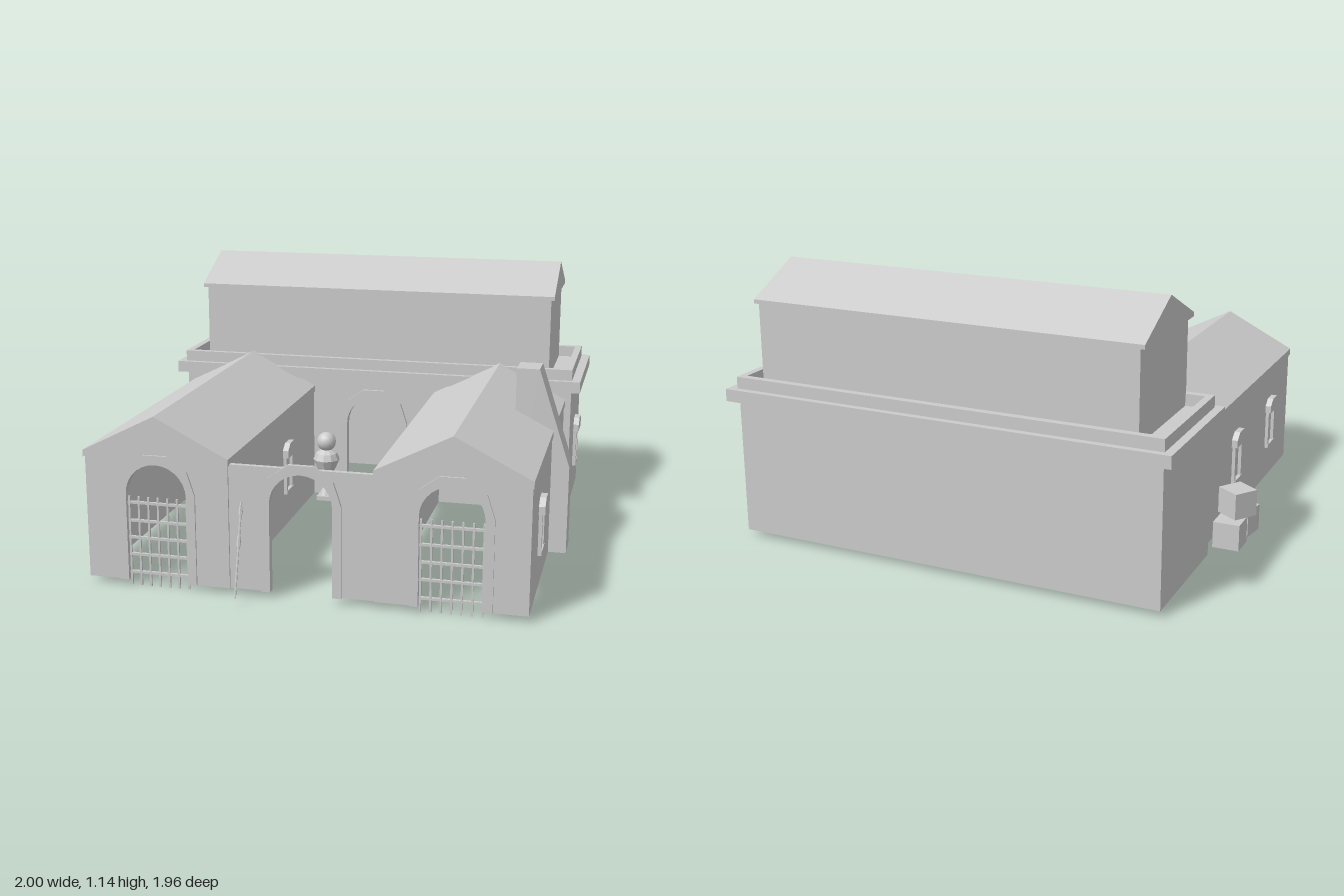
import * as THREE from 'three';

const MAT = new THREE.MeshStandardMaterial({ color: 0xcccccc, flatShading: true });
const SMOOTH = new THREE.MeshStandardMaterial({ color: 0xcccccc });
const BASE = 0.025;

function add(parent, name, geo, mat = MAT) {
  const m = new THREE.Mesh(geo, mat);
  m.name = name;
  parent.add(m);
  return m;
}

// box given by its limits
function box(parent, name, x0, x1, y0, y1, z0, z1) {
  const m = add(parent, name, new THREE.BoxGeometry(x1 - x0, y1 - y0, z1 - z0));
  m.position.set((x0 + x1) / 2, (y0 + y1) / 2, (z0 + z1) / 2);
  return m;
}

const poly = pts => pts.map(p => new THREE.Vector2(...p));

// outline extruded along z from z0 to z1
function slab(parent, name, pts, z0, z1, hole) {
  const s = new THREE.Shape(poly(pts));
  if (hole) s.holes.push(new THREE.Path(poly(hole)));
  const g = new THREE.ExtrudeGeometry(s, { depth: z1 - z0, bevelEnabled: false });
  g.translate(0, 0, z0);
  return add(parent, name, g);
}

// points over an arch, from lower right to lower left
function arch(cx, r, segs, yc = 0.385) {
  const pts = [[cx + r, BASE]];
  for (let i = 0; i <= segs; i++) {
    const a = Math.PI * i / segs;
    pts.push([cx + r * Math.cos(a), yc + r * Math.sin(a)]);
  }
  pts.push([cx - r, BASE]);
  return pts;
}

// wall outline with an open archway cut up from the ground
function archedWall(parent, name, x0, x1, top, cx, z0, z1) {
  const pts = [[x0, BASE], ...arch(cx, 0.125, 14).reverse(), [x1, BASE], ...top];
  slab(parent, name, pts, z0, z1);
}

function archFrame(parent, cx, z0, z1) {
  slab(parent, 'archFrame', [...arch(cx, 0.16, 5, 0.395), ...arch(cx, 0.125, 14).reverse()], z0, z1);
}

// thin rod between two points
function rod(parent, name, a, b, r0, r1 = r0, sides = 6) {
  const A = new THREE.Vector3(...a), d = new THREE.Vector3(...b).sub(A);
  const m = add(parent, name, new THREE.CylinderGeometry(r1, r0, d.length(), sides));
  m.position.copy(A).addScaledVector(d, 0.5);
  m.quaternion.setFromUnitVectors(new THREE.Vector3(0, 1, 0), d.normalize());
}

function spear(parent, a, b) {
  const g = new THREE.Group();
  g.name = 'spear';
  parent.add(g);
  const at = t => a.map((v, i) => v + (b[i] - v) * t);
  rod(g, 'shaft', a, at(0.86), 0.004);
  rod(g, 'grip', at(0.52), at(0.62), 0.008);
  rod(g, 'collar', at(0.84), at(0.88), 0.008);
  rod(g, 'tip', at(0.88), b, 0.009, 0.001, 4);
}

// hooded window on a wall; dir is +1 or -1 along x
function windowUnit(parent, x, z, dir) {
  const g = new THREE.Group();
  g.name = 'window';
  g.position.set(x, 0, z);
  g.rotation.y = dir * Math.PI / 2;
  parent.add(g);
  slab(g, 'hood', [[-0.065, 0.345], [0.065, 0.345], [0.065, 0.378], [0.03, 0.405], [-0.03, 0.405], [-0.065, 0.378]], -0.005, 0.025);
  for (const s of [-1, 1]) box(g, 'jamb', s * 0.045 - 0.009, s * 0.045 + 0.009, 0.18, 0.35, -0.005, 0.014);
  box(g, 'sill', -0.054, 0.054, 0.175, 0.19, -0.005, 0.016);
}

function portcullis(parent, cx, z) {
  const g = new THREE.Group();
  g.name = 'gate';
  parent.add(g);
  for (let i = 0; i < 7; i++) {
    const x = cx - 0.12 + i * 0.04;
    box(g, 'uprightBar', x - 0.004, x + 0.004, 0, 0.37, z - 0.004, z + 0.004);
  }
  for (const y of [0.055, 0.13, 0.2, 0.27, 0.345]) box(g, 'crossBar', cx - 0.13, cx + 0.13, y - 0.005, y + 0.005, z - 0.006, z + 0.006);
}

function wing(parent, cx) {
  const g = new THREE.Group();
  g.name = 'wing';
  parent.add(g);
  const w = 0.3, t = 0.025;
  archedWall(g, 'gableWall', cx - w + 0.005, cx + w - 0.005, [[cx + w - 0.005, 0.53], [cx, 0.68], [cx - w + 0.005, 0.53]], cx, 0.85, 0.875);
  for (const s of [-1, 1]) {
    const o = cx + s * (w - 0.005), i = o - s * t;
    box(g, 'sideWall', Math.min(o, i), Math.max(o, i), BASE, 0.535, -0.4, 0.86);
  }
  slab(g, 'roof', [[cx - w, 0.525], [cx, 0.675], [cx + w, 0.525], [cx + w, 0.553], [cx, 0.705], [cx - w, 0.553]], -0.41, 0.885);
  archFrame(g, cx, 0.86, 0.883);
  portcullis(g, cx, 0.862);
}

// rectangular ring with an open middle
function ring(parent, name, x0, x1, z0, z1, t, y0, y1) {
  box(parent, name, x0, x1, y0, y1, z0, z0 + t);
  box(parent, name, x0, x1, y0, y1, z1 - t, z1);
  box(parent, name, x0, x0 + t, y0, y1, z0 + t, z1 - t);
  box(parent, name, x1 - t, x1, y0, y1, z0 + t, z1 - t);
}

export function createModel() {
  const root = new THREE.Group();
  root.name = 'courtyardHouse';

  // rear hall: hollow walls, cornice, parapet
  const hall = new THREE.Group();
  hall.name = 'rearHall';
  root.add(hall);
  box(hall, 'backWall', -0.87, 0.955, BASE, 0.6, -0.945, -0.92);
  for (const x of [-0.87, 0.93]) box(hall, 'endWall', x, x + 0.025, BASE, 0.6, -0.92, -0.42);
  archedWall(hall, 'frontWall', -0.87, 0.955, [[0.955, 0.6], [-0.87, 0.6]], 0.045, -0.42, -0.395);
  archFrame(hall, 0.045, -0.4, -0.38);
  box(hall, 'cornice', -0.91, 0.995, 0.592, 0.643, -0.98, -0.365);
  ring(hall, 'parapet', -0.875, 0.957, -0.953, -0.388, 0.03, 0.643, 0.692);

  // upper storey with gabled roof along x
  box(hall, 'upperStorey', -0.765, 0.85, 0.64, 1.01, -0.92, -0.412);
  const roof = slab(hall, 'upperRoof', [[0.405, 1.0], [0.93, 1.0], [0.93, 1.017], [0.6675, 1.14], [0.405, 1.017]], -0.785, 0.865);
  roof.rotation.y = Math.PI / 2;

  // two side wings and the entrance wall between them
  wing(root, -0.54);
  wing(root, 0.63);
  archedWall(root, 'entranceWall', -0.25, 0.34, [[0.34, 0.53], [-0.25, 0.53]], 0.045, 0.845, 0.867);
  archFrame(root, 0.045, 0.86, 0.878);

  // windows
  for (const z of [0.065, 0.575]) {
    windowUnit(root, -0.835, z, -1);
    windowUnit(root, -0.245, z, 1);
    windowUnit(root, 0.335, z, -1);
  }
  windowUnit(root, 0.925, 0.57, 1);
  windowUnit(root, 0.955, -0.695, 1);

  // chimney leaning against the outer wall
  slab(root, 'chimney', [[0.77, BASE], [1, BASE], [1, 0.4], [0.865, 0.81], [0.77, 0.81]], 0.035, 0.16);

  // stacked crates
  for (const [x, y, z, a] of [[-0.918, 0.08, -0.26, 0], [-0.918, 0.08, -0.1, -0.15], [-0.925, 0.19, -0.19, -0.6]]) {
    const c = add(root, 'crate', new THREE.BoxGeometry(0.11, 0.11, 0.11));
    c.position.set(x, y, z);
    c.rotation.y = a;
  }

  // bust on a pedestal
  const bust = new THREE.Group();
  bust.name = 'statue';
  bust.position.set(-0.165, 0, -0.32);
  root.add(bust);
  box(bust, 'plinth', -0.04, 0.04, BASE, 0.045, -0.04, 0.04);
  add(bust, 'body', new THREE.LatheGeometry(poly([[0, 0.04], [0.035, 0.045], [0.02, 0.08], [0.022, 0.14], [0.045, 0.18], [0.062, 0.22], [0.05, 0.25], [0.02, 0.27], [0, 0.27]]), 10));
  add(bust, 'head', new THREE.SphereGeometry(0.045, 14, 10), SMOOTH).position.y = 0.305;

  // tied sheaf of sticks leaning in the corner
  const sheaf = new THREE.Group();
  sheaf.name = 'stickSheaf';
  root.add(sheaf);
  for (let i = 0; i < 8; i++) {
    const a = i * Math.PI / 4, c = 0.028 * Math.cos(a), s = 0.028 * Math.sin(a);
    rod(sheaf, 'stick', [0.155 + c * 0.5, BASE, -0.335 + s], [0.27 - c * 0.5, 0.28, -0.295 - s], 0.005);
  }
  rod(sheaf, 'binding', [0.205, 0.135, -0.318], [0.22, 0.17, -0.312], 0.014, 0.014, 8);

  // spears against the entrance and the courtyard wall
  spear(root, [-0.19, 0.03, 0.978], [-0.19, 0.4, 0.875]);
  for (const z of [0.35, 0.42, 0.455]) spear(root, [0.28, BASE, z], [0.33, 0.38, z]);
  spear(root, [0.24, BASE, 0.495], [0.328, 0.36, 0.465]);

  return root;
}
